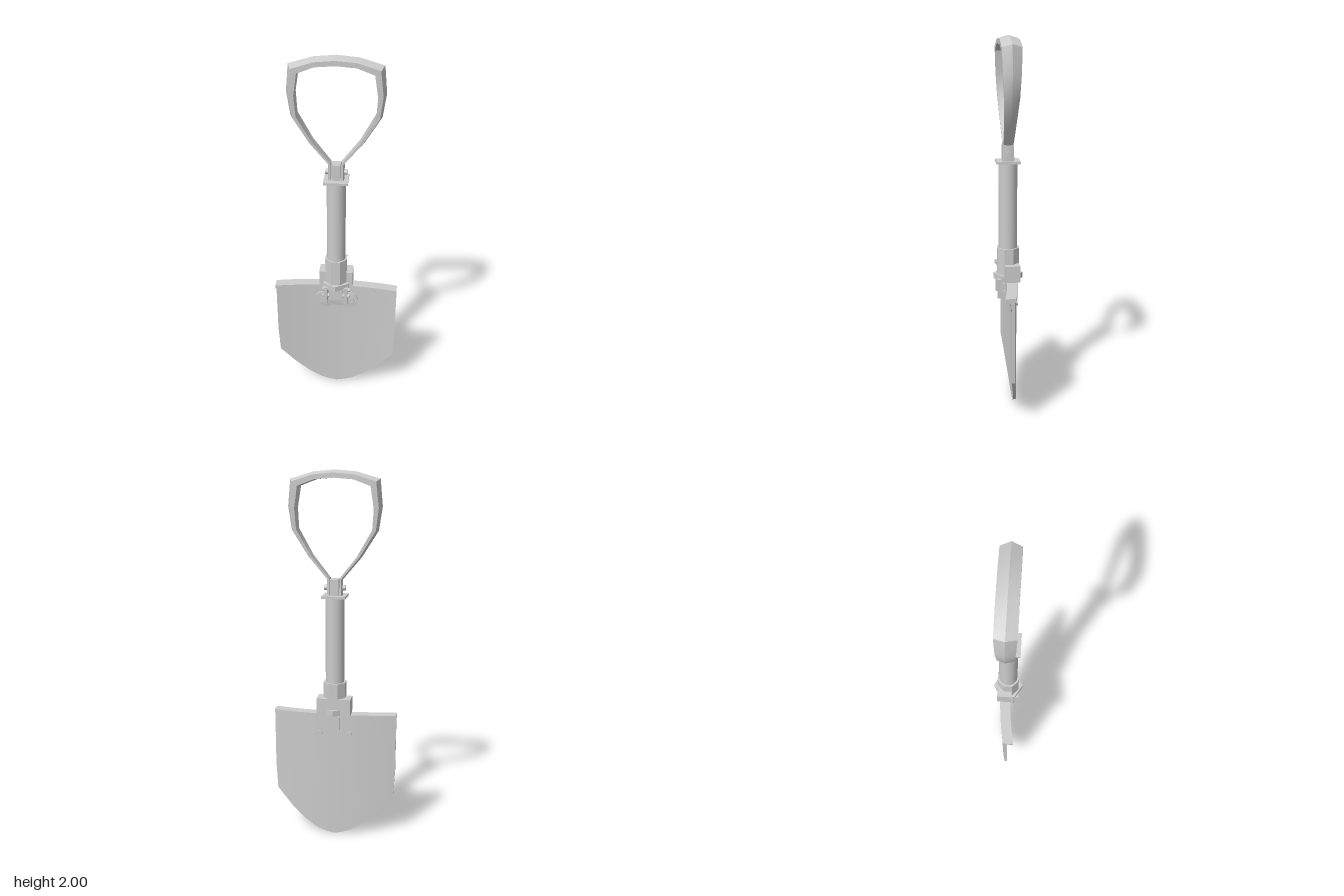
import * as THREE from 'three';
import { toCreasedNormals } from 'three/addons/utils/BufferGeometryUtils.js';

const material = new THREE.MeshStandardMaterial({ color: 0xcccccc });
const V = (x, y) => new THREE.Vector2(x, y);

export function createModel() {
  const model = new THREE.Group();

  const add = (name, geo, x = 0, y = 0, z = 0) => {
    const mesh = new THREE.Mesh(geo, material);
    mesh.name = name;
    mesh.position.set(x, y, z);
    model.add(mesh);
    return mesh;
  };
  // box given by its limits
  const box = (name, x0, x1, y0, y1, z0, z1) =>
    add(name, new THREE.BoxGeometry(x1 - x0, y1 - y0, z1 - z0), (x0 + x1) / 2, (y0 + y1) / 2, (z0 + z1) / 2);
  // round or many-sided bar along an axis
  const bar = (name, axis, r, length, sides, x, y, z) => {
    const geo = new THREE.CylinderGeometry(r, r, length, sides);
    if (axis === 'x') geo.rotateZ(Math.PI / 2);
    if (axis === 'z') geo.rotateX(Math.PI / 2);
    return add(name, geo, x, y, z);
  };
  // move vertices by a rule
  const warp = (geo, rule) => {
    const p = geo.attributes.position;
    for (let i = 0; i < p.count; i++) p.setXYZ(i, ...rule(p.getX(i), p.getY(i), p.getZ(i)));
    geo.computeVertexNormals();
    return toCreasedNormals(geo, 0.5);
  };
  const dish = x => -0.029 + 0.3 * x * x;

  // Blade: dished sheet whose lower edge follows a pointed outline
  const outline = [[0, 0.005], [0.045, 0.015], [0.09, 0.03], [0.165, 0.08], [0.24, 0.148], [0.285, 0.2], [0.328, 0.25], [0.336, 0.4]];
  const cols = outline.length - 1;
  add('blade', warp(new THREE.BoxGeometry(2, 1, 0.016, cols * 2, 1, 1), (x, y, z) => {
    const [ex, ey] = outline[Math.round(Math.abs(x) * cols)];
    const px = Math.sign(x) * ex;
    return [px, THREE.MathUtils.lerp(ey, 0.71, y + 0.5), z + dish(px)];
  }));

  // Foot rest folded forward along the top of the blade
  add('footRest', warp(new THREE.BoxGeometry(0.672, 0.02, 0.057, 16, 1, 1),
    (x, y, z) => [x, y + 0.71, z + 0.0155 + dish(x) - 0.002]));

  // Kidney-shaped rivet plate on the blade front
  const plate = new THREE.Shape();
  plate.moveTo(0, 0.57);
  plate.bezierCurveTo(0.03, 0.57, 0.05, 0.555, 0.08, 0.555);
  plate.bezierCurveTo(0.135, 0.555, 0.14, 0.655, 0.075, 0.655);
  plate.lineTo(-0.075, 0.655);
  plate.bezierCurveTo(-0.14, 0.655, -0.135, 0.555, -0.08, 0.555);
  plate.bezierCurveTo(-0.05, 0.555, -0.03, 0.57, 0, 0.57);
  add('rivetPlate', warp(new THREE.ExtrudeGeometry(plate, { depth: 0.014, bevelEnabled: false, curveSegments: 8 }),
    (x, y, z) => [x, y, z + dish(x) + 0.004]));

  // Hinge: block behind the collar, knuckle and back tab
  box('hingeBlock', -0.092, 0.092, 0.72, 0.81, -0.058, 0.022);
  box('hingeKnuckle', -0.038, 0.038, 0.64, 0.73, -0.025, 0.045);
  box('backTab', -0.03, 0.03, 0.63, 0.73, -0.052, -0.03);
  for (const s of [-1, 1]) {
    box('hingeArm', s * 0.056 - 0.01, s * 0.056 + 0.01, 0.625, 0.73, -0.025, 0.062);
    for (const y of [0.66, 0.7]) bar('hingeBolt', 'x', 0.011, 0.05, 10, s * 0.05, y, 0.025);
    bar('rivet', 'z', 0.018, 0.04, 12, s * 0.082, 0.605, dish(0.082) + 0.003);
  }

  // Collar, locking nut and shaft
  const collar = bar('collar', 'y', 0.063, 0.17, 8, 0, 0.81, 0);
  collar.geometry = toCreasedNormals(collar.geometry.rotateY(Math.PI / 8), 0.2);
  const nut = bar('lockingNut', 'y', 0.08, 0.03, 6, 0, 0.735, 0);
  nut.geometry = toCreasedNormals(nut.geometry, 0.2);
  bar('shaft', 'y', 0.05, 0.5, 28, 0, 1.11, 0);

  // Flange and grip joint
  box('flange', -0.063, 0.063, 1.355, 1.367, -0.063, 0.063);
  box('gripTab', -0.023, 0.023, 1.36, 1.45, -0.03, 0.03);
  for (const s of [-1, 1]) bar('gripBolt', 'x', 0.014, 0.028, 10, s * 0.042, 1.405, 0);

  // Grip: closed strap swept through [outer x, y, inner x, y, half depth]
  const half = [
    [0.043, 1.367, 0.027, 1.367, 0.031], [0.043, 1.45, 0.027, 1.455, 0.026], [0.14, 1.565, 0.118, 1.57, 0.031],
    [0.225, 1.7, 0.195, 1.705, 0.039], [0.243, 1.82, 0.202, 1.81, 0.045], [0.23, 1.955, 0.185, 1.92, 0.05],
    [0.11, 1.99, 0.1, 1.952, 0.05], [0, 2, 0, 1.96, 0.05],
  ];
  const mirrored = half.slice(0, -1).reverse().map(([a, b, c, d, e]) => [-a, b, -c, d, e]);
  const sections = [...half, ...mirrored];
  const pos = [], index = [];
  sections.forEach(([ox, oy, ix, iy, d], k) => {
    const e = V(ox, oy).lerp(V(ix, iy), 0.38);
    pos.push(ox, oy, 0, e.x, e.y, d, ix, iy, d, ix, iy, -d, e.x, e.y, -d);
    if (k === sections.length - 1) return;
    for (let i = 0; i < 5; i++) {
      const a = k * 5 + i, b = k * 5 + (i + 1) % 5;
      index.push(a, a + 5, b, b, a + 5, b + 5);
    }
  });
  const last = (sections.length - 1) * 5;
  for (let i = 1; i < 4; i++) index.push(0, i, i + 1, last, last + i + 1, last + i);
  const grip = new THREE.BufferGeometry();
  grip.setAttribute('position', new THREE.Float32BufferAttribute(pos, 3));
  grip.setIndex(index);
  add('grip', toCreasedNormals(grip, 0.5));

  return model;
}
